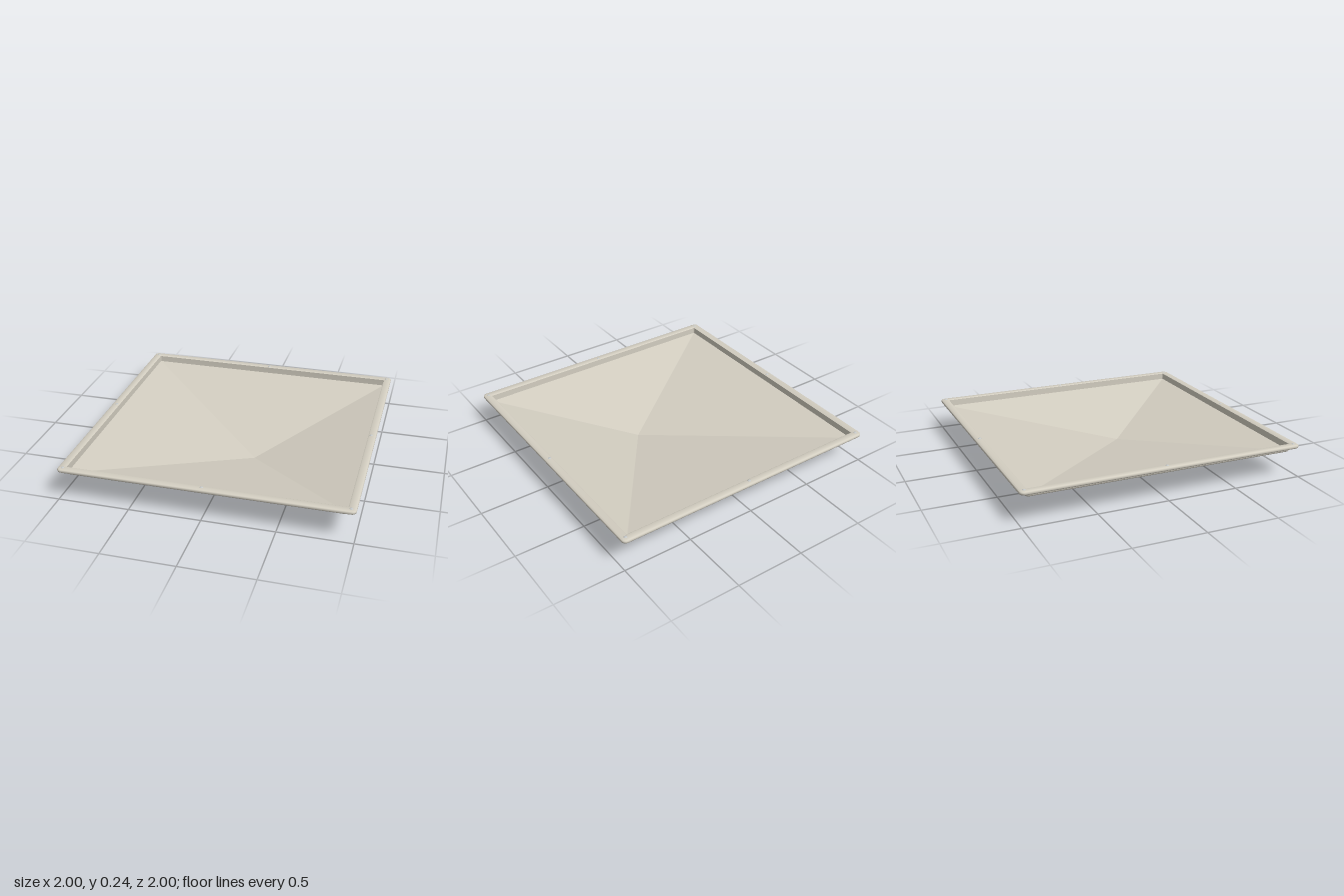
import * as THREE from 'three';
import { toCreasedNormals } from 'three/addons/utils/BufferGeometryUtils.js';

const ARC = 5; // segments per rounded corner

// Rounded-square ring of points; half = 0 collapses it to one point.
function ring({ half, y, r = 0, x = 0, z = 0 }) {
  const pts = [];
  for (let q = 0; q < 4; q++) {
    const mid = (q + 0.5) * Math.PI / 2;
    const cx = Math.sign(Math.cos(mid)) * (half - r);
    const cz = Math.sign(Math.sin(mid)) * (half - r);
    for (let i = 0; i <= ARC; i++) {
      const a = (q + i / ARC) * Math.PI / 2;
      pts.push(new THREE.Vector3(x + cx + r * Math.cos(a), y, z + cz + r * Math.sin(a)));
    }
  }
  return pts;
}

// Skin a stack of rings, skipping empty triangles.
function loft(rows) {
  const rings = rows.map(ring);
  const pos = [];
  const tri = (a, b, c) => {
    if (a.distanceTo(b) < 1e-6 || b.distanceTo(c) < 1e-6 || a.distanceTo(c) < 1e-6) return;
    for (const p of [a, b, c]) pos.push(p.x, p.y, p.z);
  };
  for (let i = 0; i < rings.length - 1; i++) {
    const lo = rings[i], hi = rings[i + 1], n = lo.length;
    for (let j = 0; j < n; j++) {
      const k = (j + 1) % n;
      tri(lo[j], hi[j], hi[k]);
      tri(lo[j], hi[k], lo[k]);
    }
  }
  const g = new THREE.BufferGeometry();
  g.setAttribute('position', new THREE.Float32BufferAttribute(pos, 3));
  g.computeVertexNormals();
  return g;
}

export function createModel() {
  const group = new THREE.Group();
  const stone = new THREE.MeshStandardMaterial({ color: 0xd3cec1 });
  stone.name = 'warm stone';
  const metal = new THREE.MeshStandardMaterial({ color: 0xc6c9c9 });
  metal.name = 'pale grey';

  const add = (name, geometry, material) => {
    const mesh = new THREE.Mesh(geometry, material);
    mesh.name = name;
    group.add(mesh);
    return mesh;
  };

  // Off-centre low point shared by the basin's two faces
  const low = { half: 0, x: 0.15, z: 0.15 };
  const under = { half: 0.94, y: 0.174, r: 0.02 };
  const inner = { half: 0.945, y: 0.184, r: 0.006 };

  add('basinUnderside', loft([{ ...low, y: 0 }, under]), stone);
  add('basinFloor', loft([inner, { ...low, y: 0.012 }]), stone);

  // Skirt, overhanging rim and inner wall
  const rim = loft([
    under,
    { half: 0.95, y: 0.178, r: 0.025 },
    { half: 0.955, y: 0.188, r: 0.03 },
    { half: 0.955, y: 0.208, r: 0.03 },
    { half: 0.992, y: 0.208, r: 0.025 },
    { half: 0.998, y: 0.212, r: 0.03 },
    { half: 1, y: 0.218, r: 0.03 },
    { half: 1, y: 0.226, r: 0.03 },
    { half: 0.997, y: 0.231, r: 0.028 },
    { half: 0.99, y: 0.234, r: 0.025 },
    { half: 0.952, y: 0.234, r: 0.008 },
    { half: 0.945, y: 0.23, r: 0.006 },
    inner,
  ]);
  add('rim', toCreasedNormals(rim, 0.8), stone);

  // Small domed studs at the rim's corners and mid-sides
  const dome = new THREE.SphereGeometry(0.012, 12, 5, 0, Math.PI * 2, 0, Math.PI / 2);
  dome.scale(1, 0.4, 1);
  for (const x of [-1, 0, 1]) {
    for (const z of [-1, 0, 1]) {
      if (x === 0 && z === 0) continue;
      add('rimStud', dome, metal).position.set(x * 0.965, 0.233, z * 0.965);
    }
  }
  return group;
}
